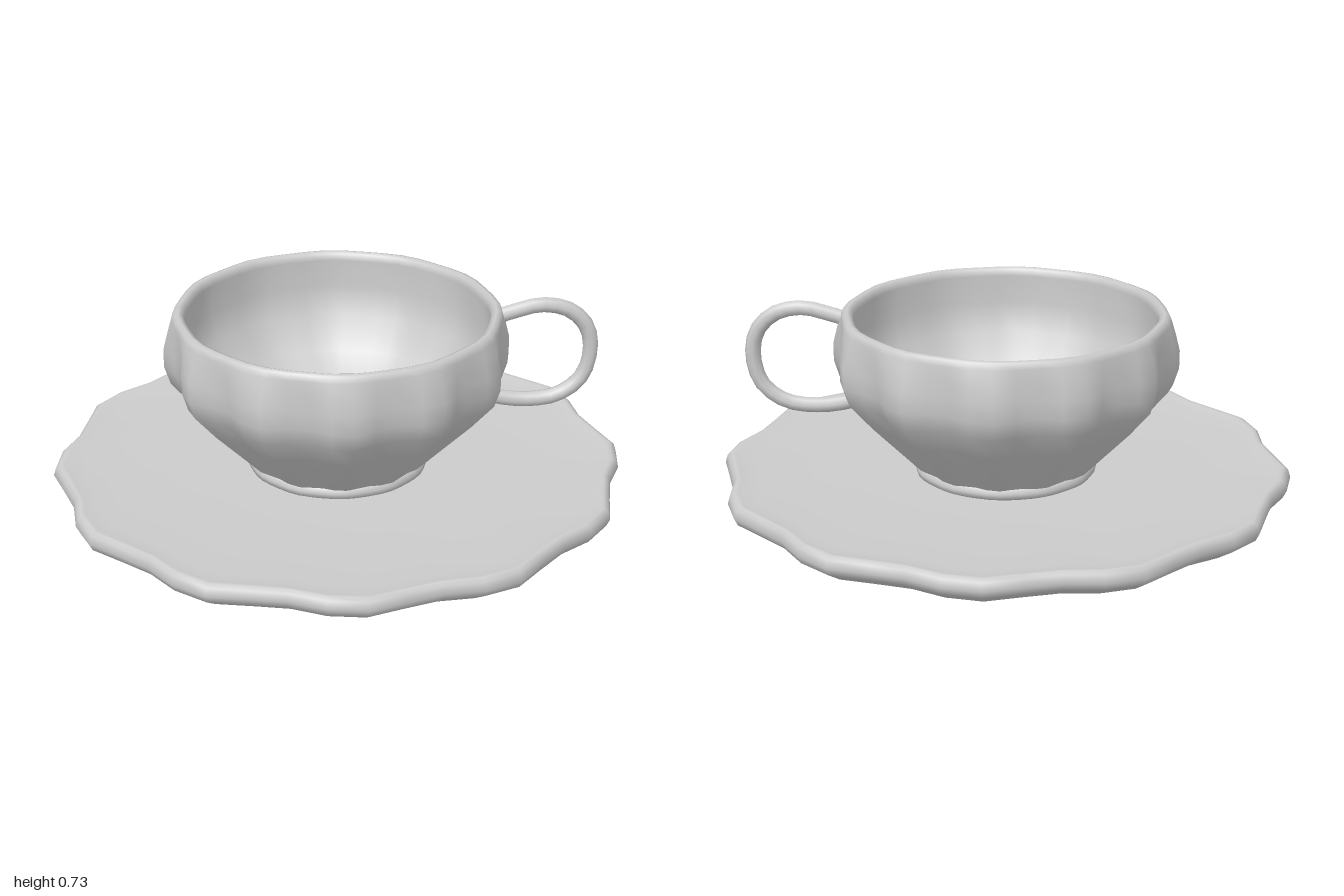
import * as THREE from 'three';
import { mergeVertices } from 'three/addons/utils/BufferGeometryUtils.js';

const LOBES = 12;
const PHASE = THREE.MathUtils.degToRad(17);
const material = new THREE.MeshStandardMaterial({ color: 0xcccccc, roughness: 0.6 });

// Turned shape with a scalloped outline; profile rows are [radius, height, scallop depth]
function scallopedLathe(name, profile) {
  const points = profile.map(([r, y]) => new THREE.Vector2(r, y));
  const geometry = new THREE.LatheGeometry(points, LOBES * 4);
  const pos = geometry.attributes.position;
  for (let i = 0; i < pos.count; i++) {
    const [r, , depth] = profile[i % profile.length];
    const angle = Math.atan2(pos.getZ(i), pos.getX(i));
    const radius = r + depth * Math.cos(LOBES * (angle - PHASE));
    pos.setX(i, radius * Math.cos(angle));
    pos.setZ(i, radius * Math.sin(angle));
  }
  // Weld the seam so that the normals run smoothly all round
  geometry.deleteAttribute('uv');
  geometry.deleteAttribute('normal');
  const welded = mergeVertices(geometry, 1e-4);
  welded.computeVertexNormals();
  const mesh = new THREE.Mesh(welded, material);
  mesh.name = name;
  return mesh;
}

export function createModel() {
  const model = new THREE.Group();
  model.name = 'cupAndSaucer';

  // Saucer: flat base, rolled scalloped edge, shallow top
  model.add(scallopedLathe('saucer', [
    [0, 0, 0], [0.4, 0, 0], [0.68, 0.003, 0.01], [0.84, 0.022, 0.02],
    [0.93, 0.048, 0.024], [0.985, 0.085, 0.025], [0.998, 0.112, 0.025],
    [0.99, 0.14, 0.024], [0.975, 0.15, 0.023], [0.962, 0.148, 0.022],
    [0.9, 0.137, 0.014], [0.7, 0.13, 0.004], [0.4, 0.125, 0], [0, 0.125, 0],
  ]));

  const cup = new THREE.Group();
  cup.name = 'cup';
  model.add(cup);

  // Bowl: fluted outer wall, rounded lip, smoother hollow inside
  const bowl = scallopedLathe('bowl', [
    [0, 0.15, 0], [0.3, 0.152, 0.004], [0.325, 0.17, 0.008],
    [0.39, 0.245, 0.015], [0.49, 0.355, 0.021], [0.568, 0.45, 0.024],
    [0.588, 0.515, 0.025], [0.59, 0.58, 0.023], [0.583, 0.64, 0.014],
    [0.576, 0.69, 0.005], [0.568, 0.711, 0.004], [0.553, 0.715, 0.003],
    [0.538, 0.709, 0.003], [0.532, 0.685, 0.003], [0.538, 0.58, 0.005],
    [0.518, 0.47, 0.006], [0.44, 0.36, 0.005], [0.33, 0.265, 0.003],
    [0.2, 0.22, 0], [0, 0.205, 0],
  ]);
  bowl.position.set(-0.004, 0, -0.008);
  cup.add(bowl);

  // Foot ring
  const foot = scallopedLathe('foot', [
    [0, 0.12, 0], [0.3, 0.12, 0], [0.322, 0.132, 0.002],
    [0.325, 0.15, 0.002], [0.318, 0.168, 0.002], [0.29, 0.18, 0], [0, 0.18, 0],
  ]);
  foot.position.copy(bowl.position);
  cup.add(foot);

  // Handle: slim loop leaning along the radius it grows from
  const path = [
    [0.54, 0.665], [0.6, 0.683], [0.695, 0.704], [0.79, 0.682], [0.852, 0.62],
    [0.872, 0.53], [0.845, 0.42], [0.765, 0.355], [0.655, 0.34], [0.55, 0.355], [0.49, 0.375],
  ].map(([x, y]) => new THREE.Vector3(x, y, -0.145 - (x - 0.56) * 0.27));
  const handle = new THREE.Mesh(
    new THREE.TubeGeometry(new THREE.CatmullRomCurve3(path), 22, 0.028, 8), material);
  handle.name = 'handle';
  cup.add(handle);

  return model;
}
